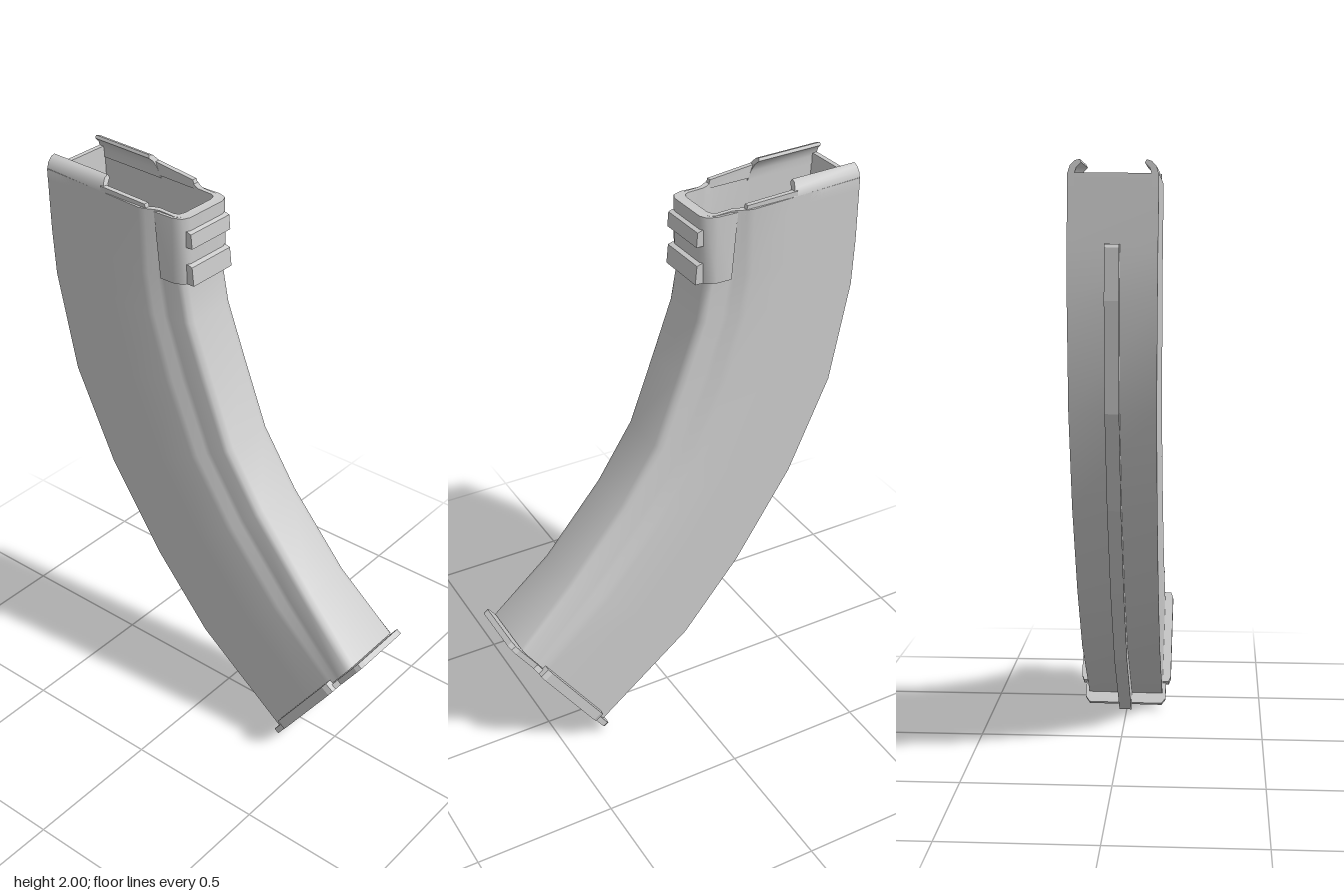
import * as THREE from 'three';
import { toCreasedNormals } from 'three/addons/utils/BufferGeometryUtils.js';

const material = new THREE.MeshStandardMaterial({ color: 0xcccccc, side: THREE.DoubleSide });

// Curve of the body from bottom to top: front [z, y], back [z, y], fade of the side step
const STATIONS = [
  [0.635, 0.485, 0.345, 0.06, 0.8],
  [0.43, 0.68, 0.0, 0.33, 0.1],
  [0.22, 0.93, -0.21, 0.58, 0],
  [0.09, 1.13, -0.42, 0.9, 0],
  [0.0, 1.37, -0.57, 1.23, 0],
  [-0.07, 1.56, -0.64, 1.58, 0],
  [-0.095, 1.7, -0.648, 1.74, 0],
  [-0.1, 1.93, -0.65, 1.96, 0],
];

// Half cross-section: [half width, fraction from front to back]
const HALF = [
  [0.08, 0], [0.1, 0.012], [0.108, 0.04], [0.108, 0.15], [0.114, 0.18],
  [0.13, 0.23], [0.1375, 0.27], [0.1375, 0.55], [0.1375, 1],
];
const SECTION = [...HALF, ...HALF.map(([x, s]) => [-x, s]).reverse()];

function mesh(name, geometry) {
  const m = new THREE.Mesh(geometry, material);
  m.name = name;
  return m;
}

function polygon(points) {
  return new THREE.Shape(points.map(([a, b]) => new THREE.Vector2(a, b)));
}

function extrude(points, depth) {
  return new THREE.ExtrudeGeometry(polygon(points), { depth, bevelEnabled: false });
}

// Side profile given as [z, y], extruded across x and centred
function acrossX(points, width) {
  return extrude(points, width).rotateY(-Math.PI / 2).translate(width / 2, 0, 0);
}

function bodyRing([fz, fy, bz, by, fade], inner) {
  return SECTION.map(([x, s]) => {
    let w = Math.abs(x);
    w += (0.1375 - w) * fade * (s > 0.03 ? 1 : 0.6);
    if (inner) {
      w -= 0.016;
      s = 0.03 + 0.94 * s;
    }
    return [Math.sign(x) * w, fy + (by - fy) * s, fz + (bz - fz) * s];
  });
}

// Outer skin going up, over the rim and back down the inside
function bodyGeometry() {
  const rings = [
    ...STATIONS.map((s) => bodyRing(s, false)),
    ...STATIONS.map((s) => bodyRing(s, true)).reverse(),
  ];
  const n = SECTION.length;
  const index = [];
  for (let i = 0; i < rings.length - 1; i++) {
    for (let j = 0; j < n; j++) {
      const k = (j + 1) % n;
      const a = i * n + j, b = i * n + k;
      index.push(a, b, b + n, a, b + n, a + n);
    }
  }
  const g = new THREE.BufferGeometry();
  g.setAttribute('position', new THREE.Float32BufferAttribute(rings.flat(2), 3));
  g.setIndex(index);
  return toCreasedNormals(g, 0.9);
}

// Spine rib following the back edge
function ribGeometry() {
  const outer = [
    [0.325, 0], [-0.01, 0.285], [-0.25, 0.58], [-0.455, 0.9],
    [-0.605, 1.23], [-0.675, 1.58], [-0.685, 1.74],
  ];
  const inner = STATIONS.slice(0, 7).map(([, , z, y]) => [z + 0.005, y]).reverse();
  return acrossX([...outer, [-0.68, 1.75], [-0.645, 1.75], ...inner, [0.345, 0.02]], 0.045);
}

// U-shaped band wrapped around the top of the front, drawn as [x, -z]
function clipGeometry() {
  const outer = [[0.118, 0.2], [0.118, 0.125], [0.106, 0.092], [0.08, 0.08]];
  const inner = [[0.078, 0.1], [0.094, 0.106], [0.1, 0.13], [0.1, 0.2]];
  const flip = (pts) => pts.map(([x, y]) => [-x, y]).reverse();
  const pts = [...outer, ...flip(outer), ...flip(inner), ...inner];
  const g = extrude(pts, 0.23).rotateX(-Math.PI / 2).translate(0, 1.7, 0);
  // chamfer the lower rear corners
  const p = g.attributes.position;
  for (let i = 0; i < p.count; i++) {
    if (p.getY(i) < 1.75 && p.getZ(i) < -0.19) p.setZ(i, -0.18);
  }
  return toCreasedNormals(g, 0.9);
}

export function createModel() {
  const model = new THREE.Group();
  model.name = 'curvedBox';

  model.add(mesh('body', bodyGeometry()));
  model.add(mesh('spineRib', ribGeometry()));
  model.add(mesh('frontClip', clipGeometry()));

  // Catches on the front clip
  model.add(mesh('upperCatch', acrossX(
    [[-0.095, 1.83], [-0.062, 1.83], [-0.066, 1.88], [-0.08, 1.885], [-0.095, 1.885]], 0.19)));
  model.add(mesh('lowerCatch', acrossX(
    [[-0.095, 1.7], [-0.058, 1.7], [-0.064, 1.765], [-0.08, 1.77], [-0.095, 1.77]], 0.19)));

  // Curled lips and low side walls at the open top
  for (const side of [1, -1]) {
    const lip = extrude([
      [0.1375, 1.92], [0.1375, 1.955], [0.13, 1.98], [0.116, 1.995], [0.1, 2],
      [0.095, 1.99], [0.11, 1.975], [0.118, 1.95], [0.118, 1.92],
    ].map(([x, y]) => [x * side, y]), 0.255).translate(0, 0, -0.65);
    // slope the front end of the lip
    const p = lip.attributes.position;
    for (let i = 0; i < p.count; i++) {
      if (p.getZ(i) > -0.5) {
        p.setZ(i, p.getZ(i) + (1.96 - p.getY(i)) * 0.4);
        p.setY(i, p.getY(i) - 0.008);
      }
    }
    model.add(mesh('feedLip', toCreasedNormals(lip, 0.7)));

    const wall = acrossX([[-0.22, 1.92], [-0.23, 1.95], [-0.41, 1.965], [-0.41, 1.92]], 0.018);
    // follow the flare of the side step
    const q = wall.attributes.position;
    for (let i = 0; i < q.count; i++) {
      q.setX(i, q.getX(i) + side * (q.getZ(i) > -0.3 ? 0.118 : 0.1285));
    }
    wall.computeVertexNormals();
    model.add(mesh('sideWall', wall));
  }

  // Floor plate, drawn flat as [x, distance from front edge], then tilted under the body
  const plate = new THREE.Group();
  plate.name = 'floorPlate';
  const half = [
    [0.1, 0], [0.118, 0.01], [0.126, 0.03], [0.126, 0.14], [0.15, 0.17], [0.15, 0.58], [0.135, 0.6],
  ];
  const outline = [...half, ...half.map(([x, u]) => [-x, u]).reverse()];
  plate.add(mesh('plate', extrude(outline, 0.02)));
  for (const side of [1, -1]) {
    const rail = [[0.135, 0.16], [0.16, 0.16], [0.168, 0.18], [0.168, 0.5], [0.16, 0.52], [0.135, 0.52]];
    plate.add(mesh('plateRail', extrude(rail.map(([x, u]) => [x * side, u]), 0.036)));
  }
  const along = new THREE.Vector3(0, -0.5, -0.345).normalize();
  const across = new THREE.Vector3(1, 0, 0);
  const inward = new THREE.Vector3().crossVectors(across, along);
  plate.quaternion.setFromRotationMatrix(new THREE.Matrix4().makeBasis(across, along, inward));
  plate.position.set(0, 0.51, 0.68);
  model.add(plate);

  // Slight sideways lean
  model.rotation.z = 0.01;
  model.position.x = 0.005;
  const root = new THREE.Group();
  root.add(model);
  return root;
}
